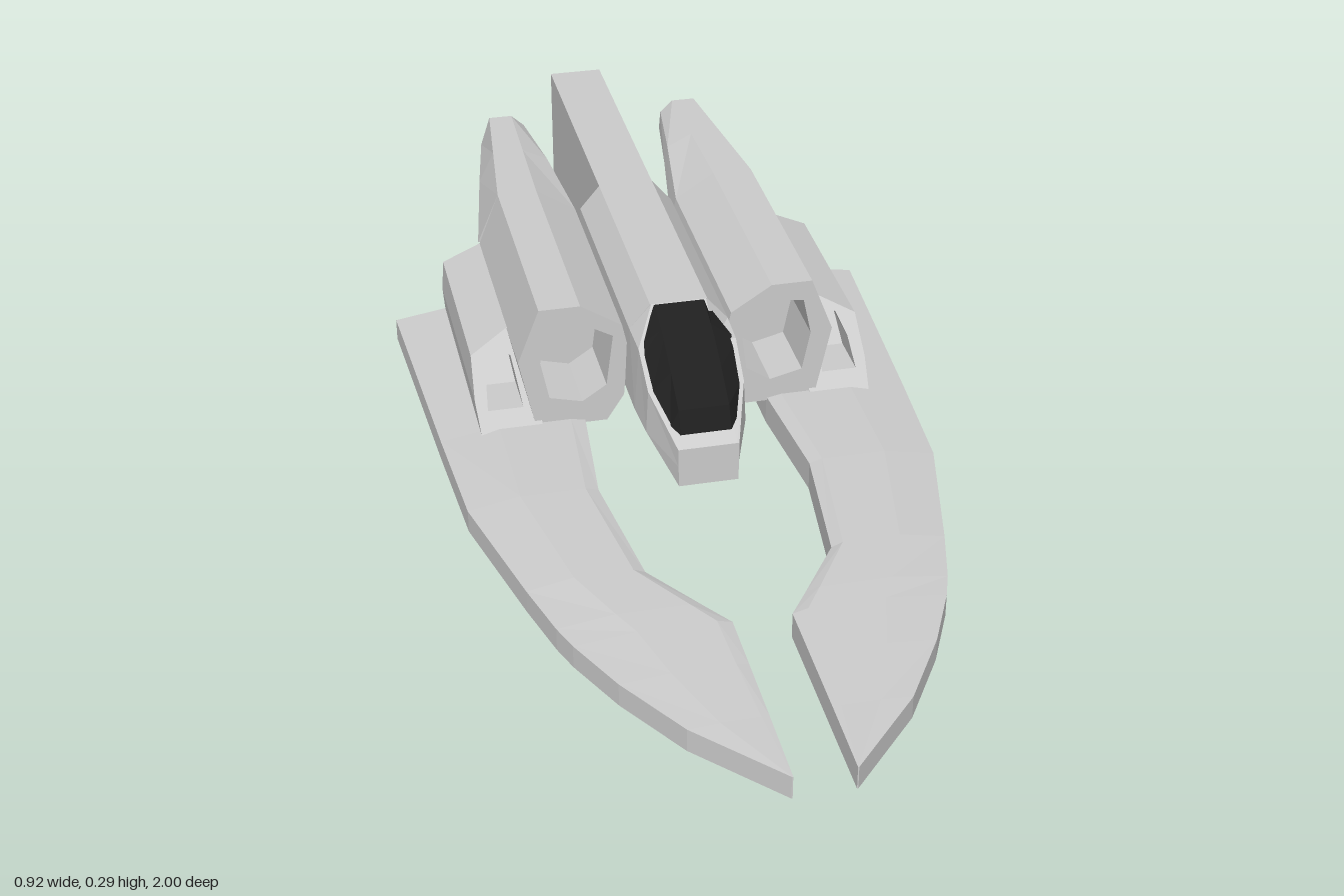
import * as THREE from 'three';

const grey = new THREE.MeshStandardMaterial({ color: 0xcccccc, flatShading: true });
const glass = new THREE.MeshStandardMaterial({ color: 0x1f1f1f, flatShading: true });

// Skin rings of [x, y, z], ordered back to front, counter-clockwise seen from the front.
function loft(rings) {
  const pos = [];
  const tri = (a, b, c) => pos.push(...a, ...b, ...c);
  const n = rings[0].length;
  for (let i = 0; i < rings.length - 1; i++) {
    for (let j = 0; j < n; j++) {
      const k = (j + 1) % n;
      const [a, b, c, d] = [rings[i][j], rings[i][k], rings[i + 1][k], rings[i + 1][j]];
      tri(a, b, c);
      tri(a, c, d);
    }
  }
  const cap = (ring, back) => {
    const flat = ring.map(([x, y]) => new THREE.Vector2(x, y));
    for (const [a, b, c] of THREE.ShapeUtils.triangulateShape(flat, [])) {
      if (back) tri(ring[a], ring[c], ring[b]);
      else tri(ring[a], ring[b], ring[c]);
    }
  };
  cap(rings[0], true);
  cap(rings[rings.length - 1], false);
  const g = new THREE.BufferGeometry();
  g.setAttribute('position', new THREE.Float32BufferAttribute(pos, 3));
  g.computeVertexNormals();
  return g;
}

// Extrude an outline between two z values, with an optional hole.
function prism(outline, z0, z1, hole) {
  const toV = (pts) => pts.map(([x, y]) => new THREE.Vector2(x, y));
  const shape = new THREE.Shape(toV(outline));
  if (hole) shape.holes.push(new THREE.Path(toV(hole)));
  return new THREE.ExtrudeGeometry(shape, { depth: z1 - z0, bevelEnabled: false }).translate(0, 0, z0);
}

// Lean vertices in front of zMin backwards as they rise.
function lean(g, zMin) {
  const p = g.attributes.position;
  for (let i = 0; i < p.count; i++) {
    if (p.getZ(i) > zMin) p.setZ(i, p.getZ(i) - (p.getY(i) - 0.06));
  }
  g.computeVertexNormals();
  return g;
}

// Mirror a part across x = 0, keeping faces outward.
function mirrorX(geo) {
  const g = geo.clone();
  const p = g.attributes.position;
  const v = [0, 1, 2].map(() => new THREE.Vector3());
  for (let i = 0; i < p.count; i += 3) {
    v.forEach((q, k) => q.fromBufferAttribute(p, i + k));
    [0, 2, 1].forEach((s, k) => p.setXYZ(i + k, -v[s].x, v[s].y, v[s].z));
  }
  g.computeVertexNormals();
  return g;
}

export function createModel() {
  const model = new THREE.Group();
  const add = (name, geo, mat = grey) => {
    const m = new THREE.Mesh(geo, mat);
    m.name = name;
    model.add(m);
  };
  const addPair = (name, geo) => {
    add('left' + name, geo);
    add('right' + name, mirrorX(geo));
  };

  // Forked wings: z, inner x, outer x, inner top, ridge top, outer top
  const wing = [
    [-0.47, 0.17, 0.46, 0.055, 0.06, 0.042],
    [-0.02, 0.17, 0.435, 0.055, 0.06, 0.042],
    [0.21, 0.19, 0.42, 0.053, 0.06, 0.042],
    [0.46, 0.16, 0.36, 0.05, 0.058, 0.042],
    [0.57, 0.085, 0.33, 0.048, 0.056, 0.042],
    [0.62, 0.05, 0.312, 0.047, 0.054, 0.042],
    [0.73, 0.05, 0.26, 0.046, 0.05, 0.042],
    [0.86, 0.05, 0.18, 0.045, 0.046, 0.042],
    [1.0, 0.05, 0.052, 0.042, 0.042, 0.042],
  ].map(([z, a, b, ha, hr, hb]) => [
    [a, 0, z], [b, 0, z], [b, hb, z], [a + (b - a) * 0.6, hr, z], [a + (b - a) * 0.1, hr, z], [a, ha, z],
  ]);
  addPair('Wing', loft(wing));

  // Engine nacelles with recessed intakes
  const nacelle = [[0.13, 0.05], [0.26, 0.05], [0.29, 0.19], [0.25, 0.293], [0.175, 0.293],
    [0.1, 0.245], [0.09, 0.2], [0.098, 0.1]];
  const intake = [[0.175, 0.095], [0.235, 0.11], [0.25, 0.185], [0.235, 0.255], [0.18, 0.26],
    [0.117, 0.225], [0.13, 0.125]];
  addPair('Intake', prism(nacelle, -0.15, -0.015, intake));
  addPair('Nacelle', prism(nacelle, -0.47, -0.15));

  // Tapering nacelle tails
  const tailFront = [[0.09, 0.195], [0.292, 0.195], [0.25, 0.293], [0.175, 0.293], [0.1, 0.245]];
  const tailEnd = [[0.14, 0.235], [0.232, 0.235], [0.213, 0.293], [0.168, 0.293], [0.143, 0.27]];
  const tail = [[-0.81, 1, 1], [-0.65, 0.53, 0.95], [-0.47, 0, 0]].map(([z, t, u]) =>
    tailFront.map(([x, y], i) => [
      THREE.MathUtils.lerp(x, tailEnd[i][0], t), THREE.MathUtils.lerp(y, tailEnd[i][1], u), z]));
  addPair('NacelleTail', loft(tail));

  // Outer pods with sloping, recessed fronts
  const pod = [[0.25, 0.05], [0.362, 0.05], [0.366, 0.1], [0.362, 0.16], [0.29, 0.192], [0.25, 0.192]];
  const podHole = [[0.28, 0.085], [0.345, 0.085], [0.34, 0.13], [0.325, 0.165], [0.29, 0.155]];
  addPair('PodIntake', lean(prism(pod, -0.1, -0.01, podHole), -1));
  addPair('Pod', lean(prism(pod, -0.47, -0.1), -0.3));

  // Central spine, hollow at its tail
  const spine = [[-0.052, 0.06], [0.052, 0.06], [0.052, 0.29], [-0.052, 0.29]];
  const exhaust = [[-0.04, 0.085], [0.04, 0.085], [0.04, 0.268], [-0.04, 0.268]];
  add('exhaust', prism(spine, -1, -0.9, exhaust));
  add('spine', prism(spine, -0.9, -0.47));

  // Faceted fuselage between the nacelles
  const half = [[0.053, 0.06], [0.096, 0.12], [0.09, 0.245], [0.052, 0.29]];
  const both = (pts) => [...pts, ...pts.map(([x, ...r]) => [-x, ...r]).reverse()];
  add('fuselage', prism(both(half), -0.47, 0));

  // Cockpit hull: z, then low, side and top corners
  const hull = [
    [0, 0.096, 0.12, 0.09, 0.245, 0.29],
    [0.07, 0.096, 0.12, 0.088, 0.243, 0.245],
    [0.14, 0.09, 0.115, 0.086, 0.197, 0.2],
    [0.24, 0.054, 0.1, 0.054, 0.134, 0.135],
  ].map(([z, lx, ly, sx, sy, ty]) =>
    both([[0.053, 0.06, z], [lx, ly, z], [sx, sy, z], [0.05, ty, z]]));
  add('cockpitHull', loft(hull));

  // Dark canopy: z, side x, side y, roof y
  const canopy = [
    [0.003, 0.052, 0.278, 0.29],
    [0.06, 0.082, 0.246, 0.272],
    [0.08, 0.082, 0.235, 0.264],
    [0.14, 0.08, 0.195, 0.23],
    [0.2, 0.06, 0.157, 0.19],
    [0.217, 0.047, 0.147, 0.152],
  ].map(([z, sx, sy, ry]) => both([[sx, sy, z], [0.045, ry, z]]));
  add('canopy', loft(canopy), glass);

  return model;
}
